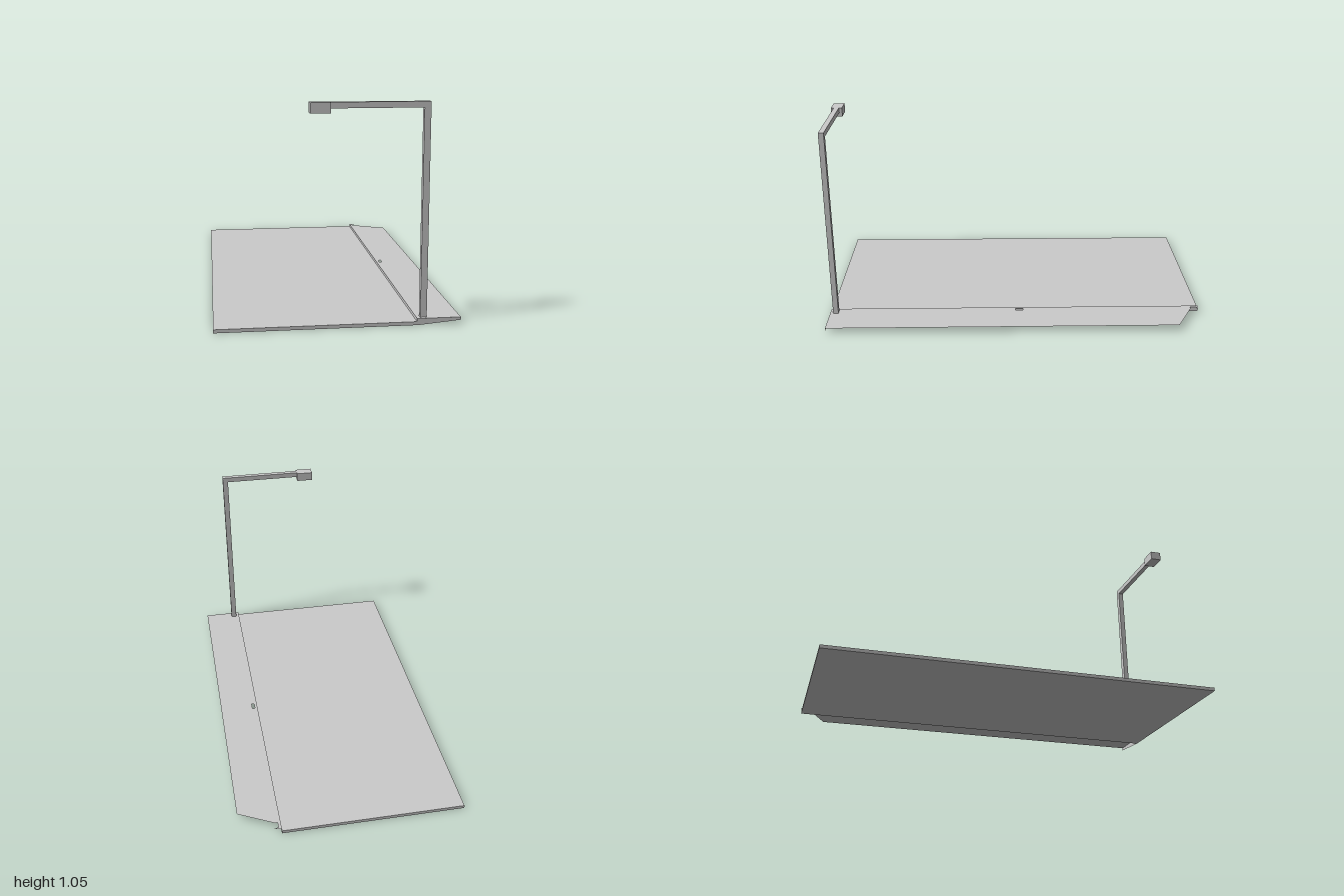
import * as THREE from 'three';

const solid = new THREE.MeshStandardMaterial({ color: 0xcccccc, flatShading: true });
const sheet = new THREE.MeshStandardMaterial({ color: 0xcccccc, flatShading: true, side: THREE.DoubleSide });

export function createModel() {
  const group = new THREE.Group();

  const add = (name, geometry, material) => {
    const mesh = new THREE.Mesh(geometry, material);
    mesh.name = name;
    group.add(mesh);
    return mesh;
  };
  // Box given by its lower and upper limits on each axis
  const box = (name, x0, x1, y0, y1, z0, z1) =>
    add(name, new THREE.BoxGeometry(x1 - x0, y1 - y0, z1 - z0), solid)
      .position.set((x0 + x1) / 2, (y0 + y1) / 2, (z0 + z1) / 2);
  const outline = (points) => points.map(([x, y]) => new THREE.Vector2(x, y));

  const kerbX = 0.37, roadTop = 0.017, walkTop = 0.032, outerX = 0.58;

  // Road slab
  box('road', -0.58, kerbX, 0, roadTop, -1, 1);

  // Pavement sheet: clipped rear corner, small spur at the kerb end, slot at mid length
  const plan = [
    [kerbX, 1], [outerX, 1], [outerX, -0.86], [0.4, -0.955], [0.385, -0.955],
    [0.385, -0.988], [0.41, -0.99], [0.385, -1], [kerbX, -1],
  ].map(([x, z]) => [x, -z]);
  const walk = new THREE.Shape(outline(plan));
  walk.holes.push(new THREE.Path(outline([[0.385, 0.04], [0.4, 0.04], [0.4, 0], [0.385, 0]])));
  add('pavement', new THREE.ShapeGeometry(walk).rotateX(-Math.PI / 2), sheet).position.y = walkTop;

  // Upright kerb face between road and pavement
  const kerb = add('kerb', new THREE.PlaneGeometry(2, walkTop - roadTop).rotateY(-Math.PI / 2), sheet);
  kerb.position.set(kerbX, (roadTop + walkTop) / 2, 0);

  // Sloping end wall under the front of the pavement
  const end = new THREE.Shape(outline([
    [kerbX, 0], [0.4, 0.002], [outerX, 0.018], [outerX, walkTop], [kerbX, walkTop],
  ]));
  add('pavementEnd', new THREE.ShapeGeometry(end), sheet).position.z = 1;

  // Street lamp: post, arm over the road and lamp head
  box('lampPost', 0.388, 0.419, 0.026, 1.02, 0.956, 0.984);
  box('lampArm', -0.042, 0.419, 1.02, 1.048, 0.956, 0.984);
  box('lampHead', -0.135, -0.042, 1.0, 1.048, 0.94, 1.0);

  return group;
}
